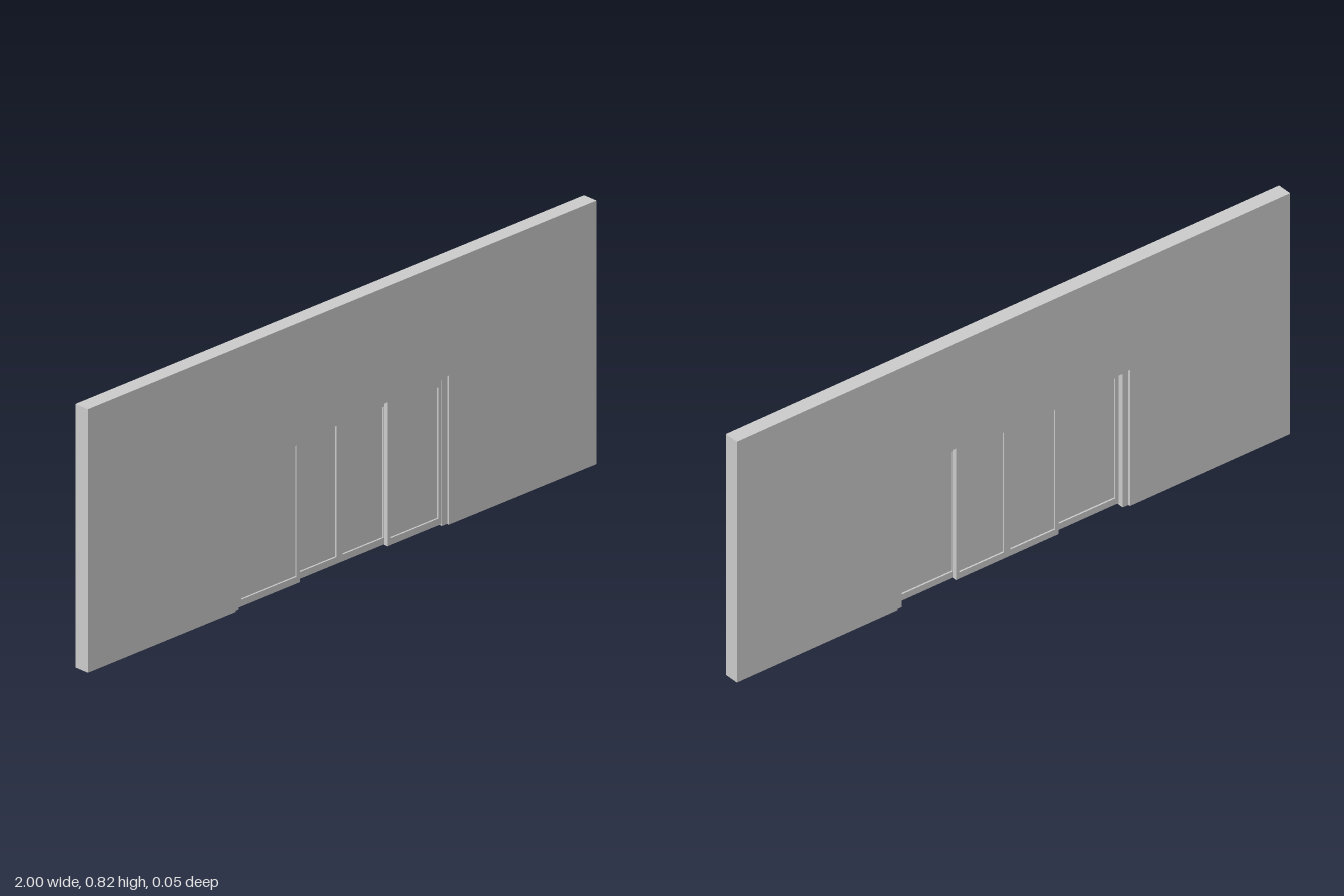
import * as THREE from 'three';

const grey = new THREE.MeshStandardMaterial({ color: 0xcccccc });
const glass = new THREE.MeshStandardMaterial({ color: 0xffffff });

// Box given by its lower and upper limits on each axis
function box(name, [x0, x1], [y0, y1], [z0, z1], material = grey) {
  const mesh = new THREE.Mesh(new THREE.BoxGeometry(x1 - x0, y1 - y0, z1 - z0), material);
  mesh.position.set((x0 + x1) / 2, (y0 + y1) / 2, (z0 + z1) / 2);
  mesh.name = name;
  return mesh;
}

// Framed glass panel: two stiles, two rails and a thin pane
function doorPanel(name, x0, x1, z) {
  const group = new THREE.Group();
  group.name = name;
  const stile = 0.012, y0 = 0.005, y1 = 0.455, rail = 0.021;
  const depth = [z - 0.007, z + 0.007];
  const inner = [x0 + stile, x1 - stile];
  group.add(
    box('stile', [x0, x0 + stile], [y0, y1], depth),
    box('stile', [x1 - stile, x1], [y0, y1], depth),
    box('bottomRail', inner, [y0, y0 + rail], depth),
    box('topRail', inner, [y1 - rail, y1], depth),
    box('glassPane', inner, [y0 + rail, y1 - rail], [z - 0.0015, z + 0.0015], glass)
  );
  return group;
}

export function createModel() {
  const model = new THREE.Group();
  model.name = 'wallWithSlidingDoor';
  const W = 0.42, H = 0.464, T = 0.05;

  // Wall outline with the doorway cut up from the floor
  const outline = new THREE.Shape([
    [-1, 0], [-W, 0], [-W, H], [W, H], [W, 0], [1, 0], [1, 0.82], [-1, 0.82],
  ].map(([x, y]) => new THREE.Vector2(x, y)));
  const wallGeometry = new THREE.ExtrudeGeometry(outline, { depth: T, bevelEnabled: false });
  wallGeometry.translate(0, 0, -T / 2);
  const wall = new THREE.Mesh(wallGeometry, grey);
  wall.name = 'wall';
  model.add(wall);

  // Door frame set slightly back from both wall faces
  const frame = new THREE.Group();
  frame.name = 'doorFrame';
  const depth = [-0.018, 0.018];
  frame.add(
    box('leftJamb', [0.4, W], [0, H], depth),
    box('rightJamb', [-W, -0.4], [0, H], depth),
    box('head', [-0.4, 0.4], [0.455, H], depth)
  );
  model.add(frame);

  // Outer panels run on the front track, middle panels on the back track
  model.add(
    doorPanel('rightOuterPanel', -0.4, -0.157, 0.008),
    doorPanel('rightMiddlePanel', -0.17, 0.0145, -0.008),
    doorPanel('leftMiddlePanel', 0.0145, 0.199, -0.008),
    doorPanel('leftOuterPanel', 0.187, 0.4, 0.008)
  );
  return model;
}
